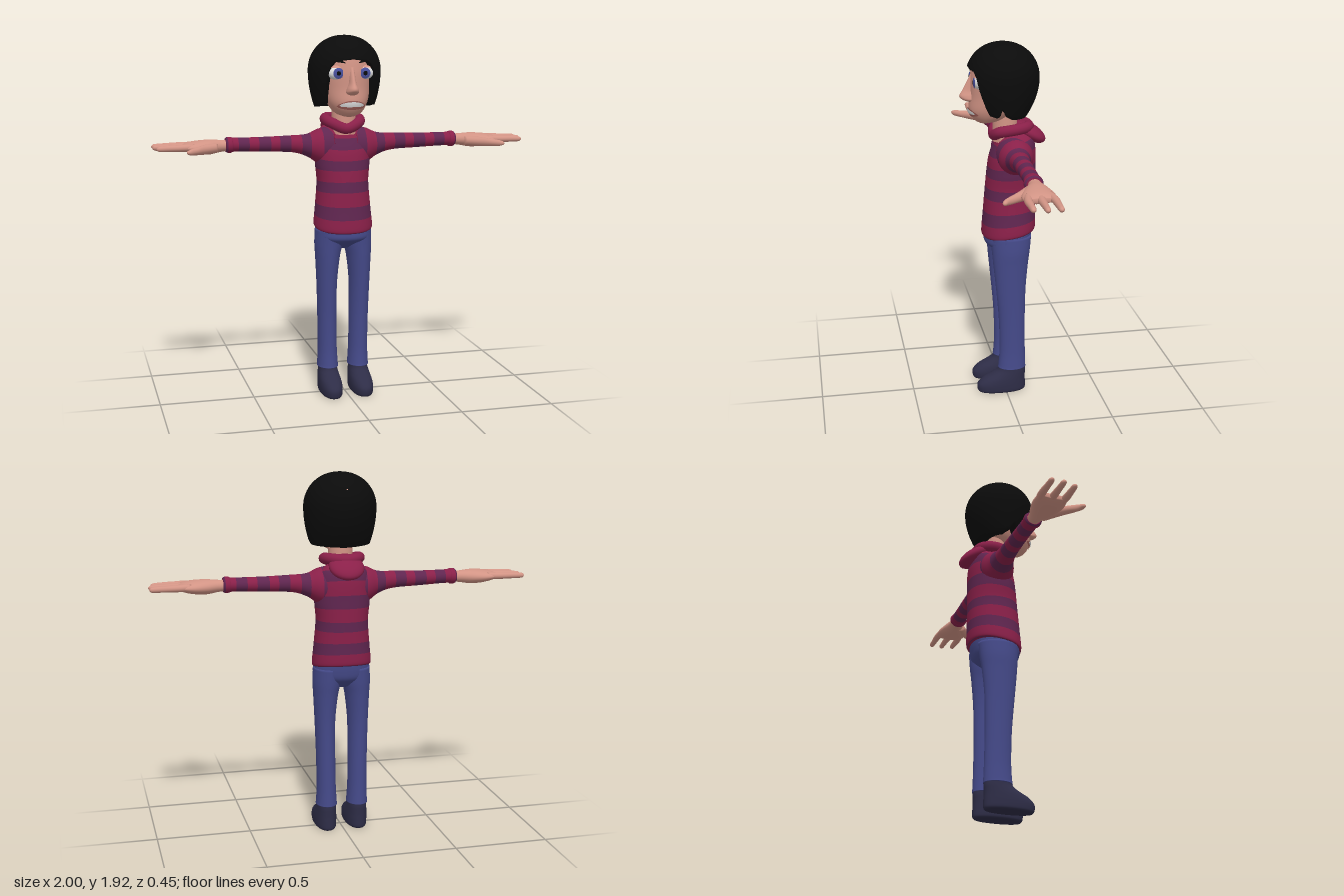
import * as THREE from 'three';

const mat = (name, color, side = THREE.FrontSide) => new THREE.MeshStandardMaterial({ name, color, side });

// Smooth sample of a list of rows at fractional index k
function at(rows, k) {
  const n = rows.length - 1, i = Math.min(Math.floor(k), n - 1), f = k - i;
  const [a, b, c, d] = [i - 1, i, i + 1, i + 2].map(q => rows[Math.max(0, Math.min(n, q))]);
  return b.map((p1, m) => {
    const v0 = (c[m] - a[m]) / 2, v1 = (d[m] - p1) / 2, e = c[m] - p1;
    return p1 + f * (v0 + f * (3 * e - 2 * v0 - v1 + f * (v0 + v1 - 2 * e)));
  });
}

function build(pos, lists) {
  const g = new THREE.BufferGeometry();
  g.setAttribute('position', new THREE.Float32BufferAttribute(pos, 3));
  g.setIndex(lists.flat());
  let start = 0;
  if (lists.length > 1) lists.forEach((l, m) => { g.addGroup(start, l.length, m); start += l.length; });
  g.computeVertexNormals();
  return g;
}

// Closed skin over elliptical rings: [t, centreU, centreV, radiusU, radiusV, tilt]
// axis 'y': u = x, v = z.  axis 'x': u = y, v = z.  band(t) picks a material.
function loft(rings, { axis = 'y', seg = 28, steps = 36, p = 1, band } = {}) {
  const pos = [], lists = band ? [[], []] : [[]], ts = [];
  const put = (t, u, v) => (axis === 'y' ? pos.push(u, t, v) : pos.push(t, u, v));
  const tri = (m, a, b, c) => (axis === 'y' ? lists[m].push(a, b, c) : lists[m].push(a, c, b));
  const pw = v => Math.sign(v) * Math.abs(v) ** p;
  for (let i = 0; i <= steps; i++) {
    const [t, cu, cv, ru, rv, tilt = 0] = at(rings, i / steps * (rings.length - 1));
    ts.push(t);
    for (let j = 0; j < seg; j++) {
      const a = j / seg * Math.PI * 2, s = pw(Math.sin(a));
      put(t + tilt * s, cu + Math.max(ru, 0.001) * pw(Math.cos(a)), cv + Math.max(rv, 0.001) * s);
    }
  }
  for (let i = 0; i < steps; i++) {
    const m = band ? band((ts[i] + ts[i + 1]) / 2) : 0;
    for (let j = 0; j < seg; j++) {
      const a = i * seg + j, b = i * seg + (j + 1) % seg;
      tri(m, a, a + seg, b);
      tri(m, b, a + seg, b + seg);
    }
  }
  const c = pos.length / 3, last = steps * seg, first = rings[0], end = rings[rings.length - 1];
  put(first[0], first[1], first[2]);
  put(end[0], end[1], end[2]);
  for (let j = 0; j < seg; j++) {
    const k = (j + 1) % seg;
    tri(0, c, j, k);
    tri(0, c + 1, last + k, last + j);
  }
  return build(pos, lists);
}

function mirrored(geo) {
  const g = geo.clone().scale(-1, 1, 1), ix = g.index.array;
  for (let i = 0; i < ix.length; i += 3) [ix[i], ix[i + 1]] = [ix[i + 1], ix[i]];
  return g;
}

// Head rings, also used to lay the face details on the skin
const HEAD = [[1.505, 0, .09, .025, .03], [1.525, 0, .075, .07, .075], [1.575, 0, .05, .105, .125],
  [1.65, 0, .02, .127, .15], [1.75, 0, 0, .14, .167], [1.84, 0, -.01, .13, .15], [1.89, 0, -.01, .06, .07]];

function faceZ(x, y) {
  let lo = 0, hi = HEAD.length - 1;
  for (let i = 0; i < 24; i++) {
    const k = (lo + hi) / 2;
    if (at(HEAD, k)[0] < y) lo = k; else hi = k;
  }
  const [, , cz, rx, rz] = at(HEAD, lo);
  return cz + rz * Math.sqrt(Math.max(0, 1 - (x / rx) ** 2));
}

// Thin patch following the face between x0 and x1
function facePatch(x0, x1, mid, half, lift) {
  const pos = [], ix = [], n = 20, rows = 4;
  for (let i = 0; i <= n; i++) {
    const x = x0 + (x1 - x0) * i / n;
    for (let j = 0; j <= rows; j++) {
      const y = mid(i / n) + half(i / n) * (j / rows * 2 - 1);
      pos.push(x, y, faceZ(x, y) + lift);
      if (i < n && j < rows) {
        const a = i * (rows + 1) + j, b = a + rows + 1;
        ix.push(a, b, a + 1, a + 1, b, b + 1);
      }
    }
  }
  return build(pos, [ix]);
}

// Bowl-cut hair: hem height varies around the head, folded inward at the rim
function hairGeometry() {
  const pos = [], ix = [], seg = 120, rows = 30, R = rows + 2;
  const hem = [[0, 1.8], [28, 1.79], [37, 1.76], [45, 1.66], [50, 1.57], [66, 1.56], [74, 1.57], [79, 1.61],
    [85, 1.57], [100, 1.55], [180, 1.54]];
  const hemAt = d => {
    const i = Math.max(1, hem.findIndex(h => h[0] >= d)), [a, b] = [hem[i - 1], hem[i]];
    return THREE.MathUtils.lerp(a[1], b[1], (d - a[0]) / (b[0] - a[0]));
  };
  for (let r = 0; r <= R; r++) for (let j = 0; j < seg; j++) {
    const th = j / seg * Math.PI * 2, deg = Math.min(j, seg - j) / seg * 360, h = hemAt(deg);
    const v = Math.min(r / rows, 1);
    let y = 1.92 - (1.92 - h) * (1 - Math.cos(v * Math.PI / 2));
    const up = Math.max(0, (y - 1.74) / .18), q = Math.max(0, (1.74 - y) / .2);
    const k = Math.max(0, 1 - up * up) ** .47 * (r === rows + 1 ? .9 : r === R ? .6 : 1);
    if (r === R) y += .015;
    pos.push(Math.sin(th) * (.19 - .035 * q * q) * k, y, Math.cos(th) * (.19 - .07 * q * q) * k);
    if (r < R) {
      const a = r * seg + j, b = r * seg + (j + 1) % seg;
      ix.push(a, a + seg, b, b, a + seg, b + seg);
    }
  }
  return build(pos, [ix]);
}

export function createModel() {
  const model = new THREE.Group();
  model.name = 'standingFigure';
  const skin = mat('skin', 0xd29485), hair = mat('hair black', 0x0b0b0b, THREE.DoubleSide);
  const red = mat('sweater red', 0x8a2049), plum = mat('sweater plum', 0x602650);
  const denim = mat('denim blue', 0x454a8a), shoe = mat('shoe navy', 0x2e2d47);
  const white = mat('eye and tooth white', 0xdedede), iris = mat('iris blue', 0x4a52a0);
  const lip = mat('lip', 0xa3615a);

  const add = (name, geo, m) => {
    const mesh = new THREE.Mesh(geo, m);
    mesh.name = name;
    model.add(mesh);
    return mesh;
  };
  const both = (name, geo, m) => {
    add(name + 'Left', geo, m);
    add(name + 'Right', mirrored(geo), m);
  };
  const ball = (x, y, z, sx, sy, sz, ...arc) => new THREE.SphereGeometry(1, 28, 18, ...arc).scale(sx, sy, sz).translate(x, y, z);

  // Sweater
  const stripe = (offset, period, width) => t => +((t - offset + period * 20) % period < width);
  add('sweaterBody', loft([[.905, 0, -.03, .148, .134, -.02], [.925, 0, -.03, .156, .142, -.02], [1.02, 0, -.034, .147, .138, -.012],
    [1.15, 0, -.04, .137, .132, 0], [1.25, 0, -.045, .145, .127, -.01], [1.34, 0, -.05, .145, .12, -.025],
    [1.41, 0, -.055, .125, .1, -.025], [1.455, 0, -.05, .07, .07, -.015]],
  { seg: 40, steps: 98, p: .9, band: stripe(.975, .125, .058) }), [red, plum]);
  both('sleeve', loft([[.06, 1.335, -.05, .11, .1], [.13, 1.338, -.05, .092, .088], [.19, 1.345, -.048, .06, .062],
    [.27, 1.355, -.046, .045, .047], [.42, 1.357, -.045, .039, .042], [.57, 1.36, -.04, .036, .042],
    [.595, 1.36, -.038, .041, .047], [.615, 1.36, -.038, .041, .047], [.625, 1.36, -.038, .034, .038]],
  { axis: 'x', steps: 80, band: stripe(.175, .11, .05) }), [red, plum]);

  // Rolled collar and hood hanging behind
  const collar = new THREE.CatmullRomCurve3([[0, 1.437, .045], [.07, 1.465, .025], [.09, 1.48, -.05], [.06, 1.483, -.115],
    [0, 1.478, -.135], [-.06, 1.483, -.115], [-.09, 1.48, -.05], [-.07, 1.465, .025]].map(p => new THREE.Vector3(...p)), true);
  add('collar', new THREE.TubeGeometry(collar, 64, .029, 14, true), red);
  add('hood', new THREE.SphereGeometry(1, 28, 18).scale(.092, .042, .095).rotateX(-.55).translate(0, 1.445, -.142), red);

  // Hands with three fingers and a thumb
  both('palm', loft([[.6, 1.358, -.04, .028, .032], [.65, 1.356, -.038, .031, .037], [.71, 1.353, -.03, .038, .062],
    [.77, 1.353, -.025, .035, .08], [.82, 1.355, -.024, .026, .08], [.855, 1.357, -.024, .012, .068]], { axis: 'x' }), skin);
  [[-.087, 1], [-.025, 1], [.038, .985]].forEach(([z, tip], i) =>
    both('finger' + (i + 1), loft([[.79, 1.358, z * .8 - .006, .02, .022], [.86, 1.358, z, .018, .02], [.93, 1.357, z, .016, .016],
      [tip - .018, 1.356, z, .014, .014], [tip - .005, 1.356, z, .009, .009], [tip, 1.356, z, .002, .002]],
    { axis: 'x', seg: 14, steps: 20 }), skin));
  both('thumb', loft([[.67, 1.35, -.01, .024, .03], [.74, 1.348, .04, .025, .034], [.785, 1.347, .09, .02, .03],
    [.82, 1.347, .13, .016, .018], [.84, 1.347, .142, .009, .01], [.845, 1.347, .143, .002, .002]],
  { axis: 'x', seg: 16, steps: 24 }), skin);

  // Trousers and shoes
  add('trouserSeat', loft([[.795, 0, -.035, .04, .05], [.82, 0, -.03, .1, .085], [.85, 0, -.022, .142, .118],
    [.89, 0, -.025, .15, .125], [.94, 0, -.03, .14, .125]], { p: .9 }), denim);
  both('trouserLeg', loft([[.138, .085, -.036, .057, .076], [.16, .085, -.037, .055, .074], [.25, .086, -.038, .051, .07],
    [.42, .088, -.035, .051, .071], [.6, .09, -.029, .054, .08], [.74, .086, -.028, .064, .093],
    [.82, .08, -.03, .074, .102], [.9, .076, -.03, .074, .11]]), denim);
  both('shoe', loft([[0, .085, .022, .05, .124], [.012, .085, .022, .058, .132], [.045, .085, .022, .06, .132],
    [.075, .085, .008, .058, .117], [.1, .085, -.015, .054, .094], [.125, .085, -.033, .05, .076],
    [.16, .085, -.038, .046, .066]], { p: .88 }), shoe);

  // Head, neck and nose
  add('neck', new THREE.CylinderGeometry(.062, .066, .17, 28).translate(0, 1.49, -.012), skin);
  add('head', loft(HEAD, { seg: 40, steps: 48 }), skin);
  add('nose', loft([[1.618, 0, .168, .012, .012], [1.63, 0, .165, .032, .044], [1.65, 0, .165, .03, .059],
    [1.685, 0, .158, .019, .047], [1.76, 0, .145, .014, .022]], { seg: 20 }), skin);
  add('hair', hairGeometry(), hair);

  // Eyes, lids and brows
  const [ex, ey, ez] = [.074, 1.73, .132];
  const cap = (angle, k) => new THREE.SphereGeometry(1, 24, 8, 0, Math.PI * 2, 0, angle).rotateX(Math.PI / 2)
    .scale(.045 * k, .045 * k, .031 * k).translate(ex - .004, ey, ez);
  both('eyeball', ball(ex, ey, ez, .046, .034, .03), white);
  both('iris', cap(.64, 1.03), iris);
  both('pupil', cap(.24, 1.06), hair);
  both('upperLid', ball(ex, ey + .003, ez - .002, .05, .037, .034, 0, Math.PI * 2, 0, .85), skin);
  both('brow', facePatch(.035, .112, t => 1.782 + .012 * Math.sin(t * 2.6), t => .002 + .006 * Math.sin(Math.PI * t), .007), hair);

  // Mouth with a row of teeth
  const bow = t => (1 - 4 * t * (1 - t));
  add('lips', facePatch(-.075, .075, t => 1.568 - .006 * bow(t), t => .024 * Math.sin(Math.PI * t) ** .6, .006), lip);
  add('teeth', facePatch(-.064, .064, t => 1.572 - .006 * bow(t), t => .013 * Math.sin(Math.PI * t) ** .4, .009), white);
  return model;
}
